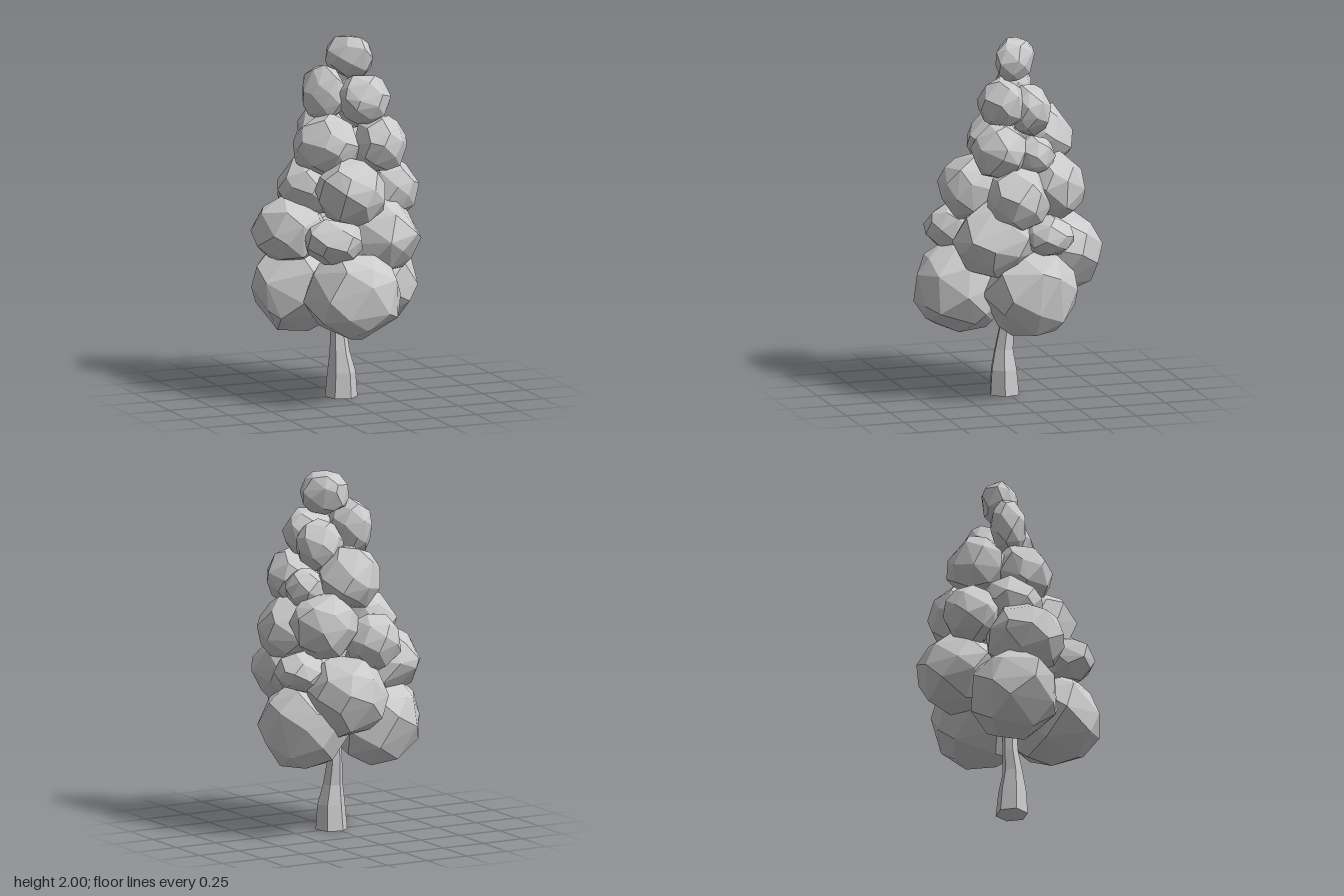
import * as THREE from 'three';
import { ConvexGeometry } from 'three/addons/geometries/ConvexGeometry.js';

// foliage clumps: centre x, y, z, half sizes x, y, z and an optional yaw
const DIAGONAL = -Math.PI / 4;
const TIERS = {
  bottomFoliage: [
    [-0.02, 0.61, 0.26, 0.265, 0.245, 0.25],
    [0.215, 0.612, -0.06, 0.245, 0.24, 0.265],
    [-0.21, 0.608, -0.115, 0.25, 0.24, 0.25],
    [0.08, 0.79, -0.288, 0.23, 0.22, 0.228],
  ],
  lowerFoliage: [
    [0.19, 0.915, 0.14, 0.22, 0.215, 0.225],
    [-0.14, 0.925, 0.265, 0.16, 0.125, 0.155],
    [-0.25, 0.945, -0.07, 0.21, 0.185, 0.22],
    [0.305, 0.935, -0.145, 0.14, 0.115, 0.14],
    [-0.075, 1.085, -0.3, 0.16, 0.16, 0.16],
  ],
  middleFoliage: [
    [0, 1.17, 0.178, 0.19, 0.19, 0.195],
    [0.275, 1.145, 0.015, 0.175, 0.18, 0.18],
    [0.18, 1.19, -0.2, 0.185, 0.18, 0.18],
    [-0.15, 1.165, -0.085, 0.17, 0.17, 0.175],
  ],
  upperFoliage: [
    [-0.075, 1.41, 0.025, 0.185, 0.175, 0.16, DIAGONAL],
    [0.205, 1.403, 0.1, 0.15, 0.155, 0.16],
    [0.03, 1.435, -0.19, 0.175, 0.175, 0.18],
    [0.235, 1.38, -0.08, 0.115, 0.11, 0.115],
  ],
  topFoliage: [
    [0.127, 1.655, 0.065, 0.14, 0.135, 0.13],
    [-0.065, 1.685, -0.06, 0.125, 0.16, 0.1, DIAGONAL],
    [0.14, 1.61, -0.085, 0.135, 0.14, 0.12],
    [0.08, 1.88, -0.015, 0.135, 0.12, 0.1, DIAGONAL],
  ],
};

const material = new THREE.MeshStandardMaterial({ color: 0xcccccc, flatShading: true });

function seeded(seed) {
  let s = seed * 7919 + 17;
  return () => (s = (s * 16807) % 2147483647) / 2147483647;
}

// irregular faceted boulder, scaled to fill its given size
function clumpGeometry([x, y, z, rx, ry, rz, yaw = 0], seed) {
  const random = seeded(seed);
  const count = 30;
  const turn = random() * Math.PI * 2;
  const points = [];
  for (let i = 0; i < count; i++) {
    const h = 1 - (2 * (i + 0.5)) / count;
    const a = i * 2.39996 + turn;
    const r = Math.sqrt(1 - h * h);
    const p = new THREE.Vector3(r * Math.cos(a), h, r * Math.sin(a));
    p.x += (random() - 0.5) * 0.35;
    p.y += (random() - 0.5) * 0.35;
    p.z += (random() - 0.5) * 0.35;
    points.push(p.normalize().multiplyScalar(0.96 + random() * 0.08));
  }
  const box = new THREE.Box3().setFromPoints(points);
  const middle = box.getCenter(new THREE.Vector3());
  const size = box.getSize(new THREE.Vector3());
  const scale = new THREE.Vector3(rx, ry, rz).multiplyScalar(2).divide(size);
  points.forEach((p) => p.sub(middle).multiply(scale));
  return new ConvexGeometry(points).rotateY(yaw).translate(x, y, z);
}

// trunk: a six-sided column reshaped ring by ring
function trunkGeometry() {
  // height, radius, centre x, centre z
  const rings = [
    [0.95, 0.03, 0.02, 0],
    [0.6, 0.036, 0.01, -0.005],
    [0.37, 0.044, 0.002, -0.003],
    [0.25, 0.056, 0.003, 0.013],
    [0.14, 0.078, 0.012, 0.016],
    [0, 0.09, 0.012, 0.013],
  ];
  const geometry = new THREE.CylinderGeometry(1, 1, rings.length - 1, 6, rings.length - 1);
  geometry.rotateY(Math.PI / 12);
  const pos = geometry.attributes.position;
  for (let i = 0; i < pos.count; i++) {
    const row = Math.round((rings.length - 1) / 2 - pos.getY(i));
    const [h, r, cx, cz] = rings[row];
    pos.setXYZ(i, cx + pos.getX(i) * r, h, cz + pos.getZ(i) * r);
  }
  return geometry;
}

export function createModel() {
  const tree = new THREE.Group();
  tree.name = 'tree';

  const trunk = new THREE.Mesh(trunkGeometry(), material);
  trunk.name = 'trunk';
  tree.add(trunk);

  let seed = 1;
  for (const [name, clumps] of Object.entries(TIERS)) {
    const tier = new THREE.Group();
    tier.name = name;
    for (const clump of clumps) {
      const mesh = new THREE.Mesh(clumpGeometry(clump, seed++), material);
      mesh.name = 'leafClump';
      tier.add(mesh);
    }
    tree.add(tier);
  }
  return tree;
}
